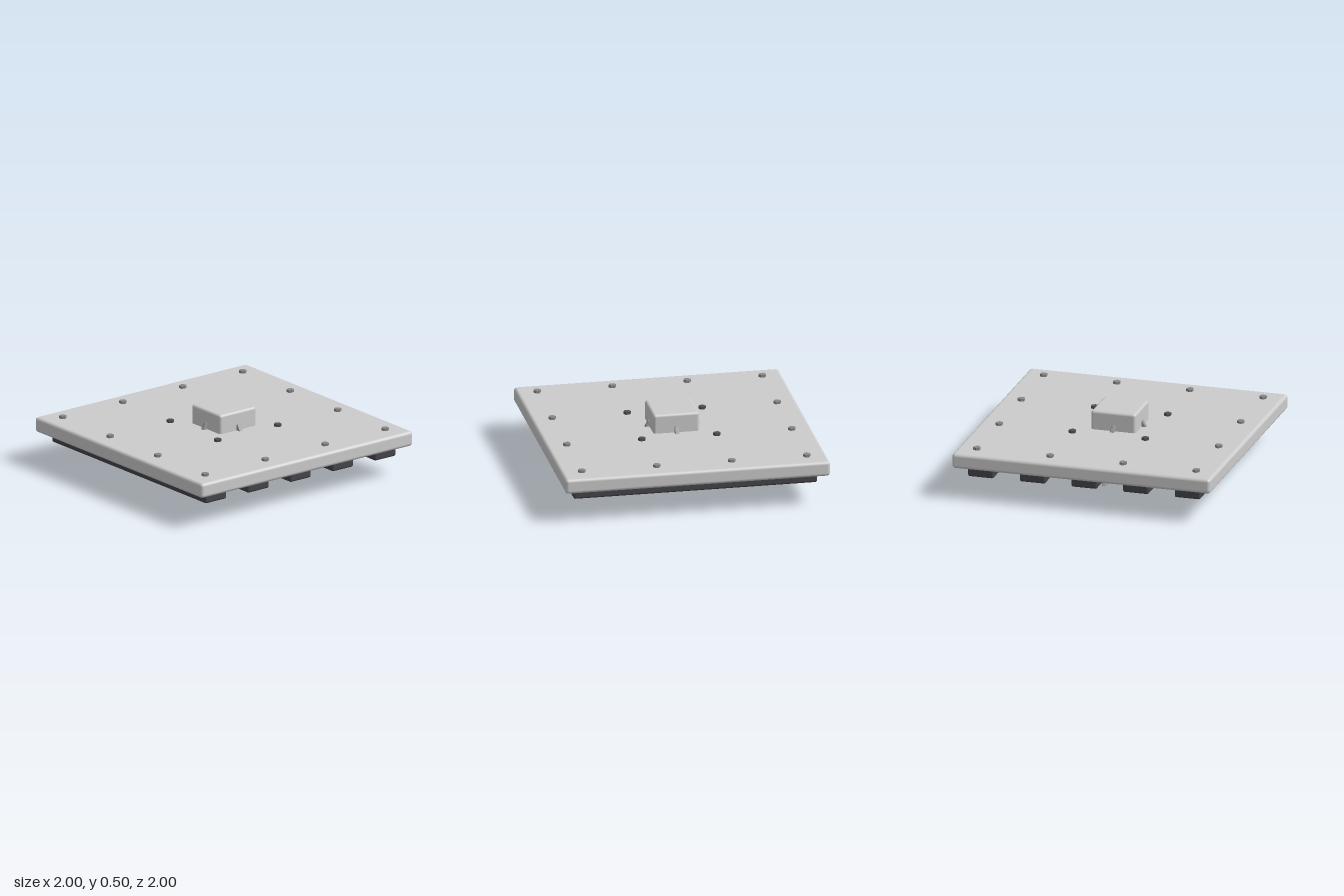
import * as THREE from 'three';
import { RoundedBoxGeometry } from 'three/addons/geometries/RoundedBoxGeometry.js';

export function createModel() {
  const model = new THREE.Group();
  model.name = 'platform';

  const grey = new THREE.MeshStandardMaterial({ color: 0xcccccc });
  const steel = new THREE.MeshStandardMaterial({ color: 0x999999 });
  const boltGrey = new THREE.MeshStandardMaterial({ color: 0x888888, flatShading: true });
  const boltDark = new THREE.MeshStandardMaterial({ color: 0x505050, flatShading: true });
  const rubber = new THREE.MeshStandardMaterial({ color: 0x44444a });
  const black = new THREE.MeshStandardMaterial({ color: 0x222222 });

  function add(name, geometry, material, x = 0, y = 0, z = 0, parent = model) {
    const mesh = new THREE.Mesh(geometry, material);
    mesh.name = name;
    mesh.position.set(x, y, z);
    parent.add(mesh);
    return mesh;
  }

  // Wide deck plate and the square post through its middle
  add('deckPlate', new RoundedBoxGeometry(2, 0.115, 2, 3, 0.025), grey, 0, 0.297, 0);
  add('centrePost', new RoundedBoxGeometry(0.345, 0.5, 0.345, 3, 0.02), grey, 0, 0.25, 0);

  // Underside slats running front to back
  const slat = new RoundedBoxGeometry(0.2, 0.08, 1.84, 2, 0.015);
  for (let i = -2; i <= 2; i++) add('slat', slat, rubber, i * 0.4, 0.2, 0);

  // Small box fixed beside one slat
  add('controlBox', new RoundedBoxGeometry(0.2, 0.075, 0.2, 2, 0.012), black, 0.5, 0.203, 0);

  // Ring under the plate, around the post
  const ring = add('supportRing', new THREE.TorusGeometry(0.42, 0.04, 12, 48), steel, 0, 0.225, 0);
  ring.rotation.x = Math.PI / 2;

  // Triangular gussets on the four sides of the post
  const profile = new THREE.Shape();
  profile.moveTo(0.16, 0.009);
  profile.lineTo(0.41, 0.009);
  profile.lineTo(0.176, 0.395);
  profile.lineTo(0.16, 0.395);
  profile.closePath();
  const gusset = new THREE.ExtrudeGeometry(profile, {
    depth: 0.02, bevelEnabled: true, bevelThickness: 0.006, bevelSize: 0.006, bevelSegments: 2,
  });
  gusset.translate(0, 0, -0.01);
  for (let i = 0; i < 4; i++) add('gusset', gusset, steel).rotation.y = i * Math.PI / 2;

  // Hexagonal bolt heads in a four by four grid, the inner four darker
  const bolt = new THREE.CylinderGeometry(0.028, 0.028, 0.04, 6);
  const spots = [-0.85, -0.283, 0.283, 0.85];
  for (const x of spots) {
    for (const z of spots) {
      const inner = Math.abs(x) < 0.5 && Math.abs(z) < 0.5;
      add('bolt', bolt, inner ? boltDark : boltGrey, x, 0.354, z);
    }
  }

  return model;
}
